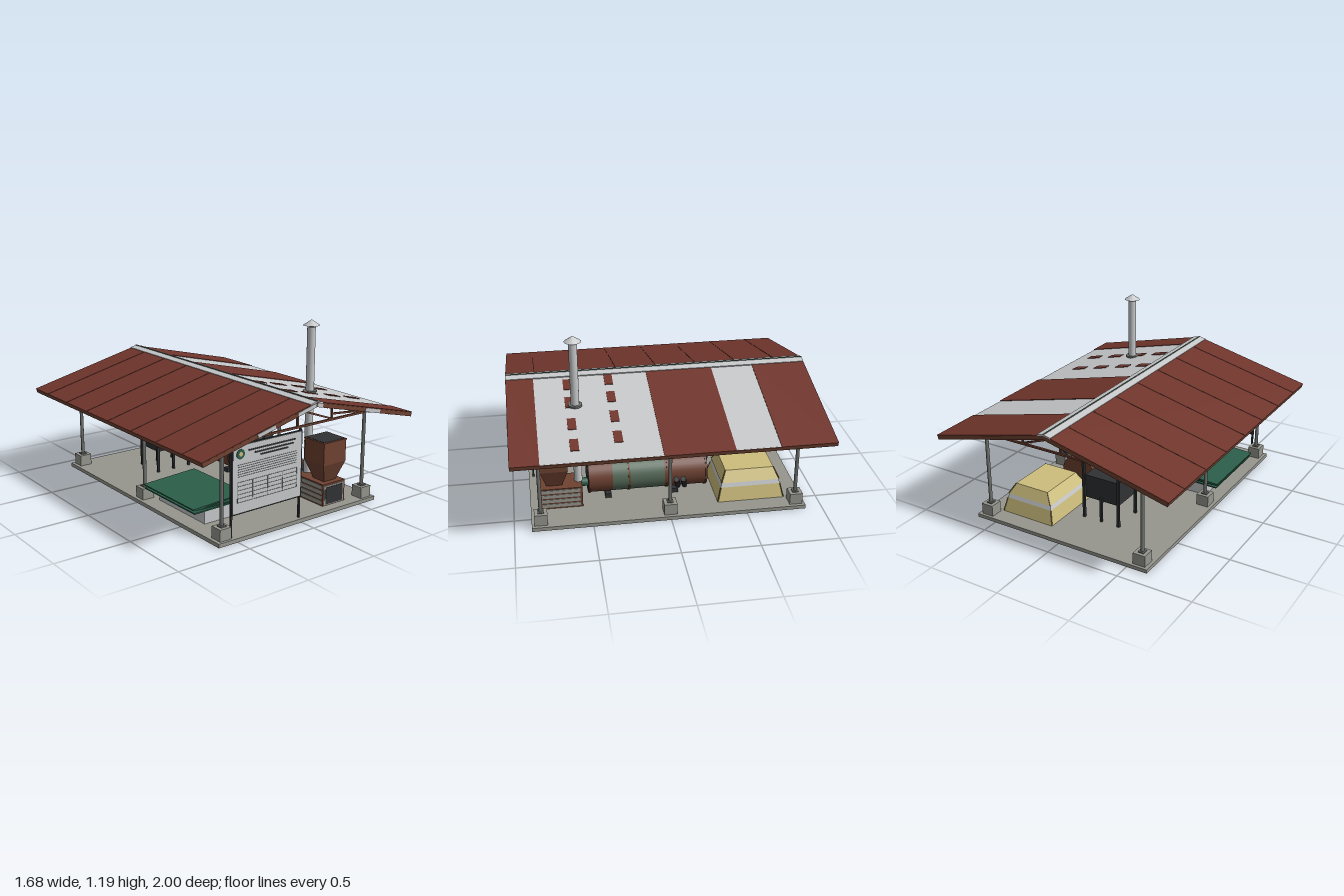
import * as THREE from 'three';

const mat = (name, color) => {
  const m = new THREE.MeshStandardMaterial({ color });
  m.name = name;
  return m;
};

export function createModel() {
  const root = new THREE.Group();
  root.name = 'dryingShed';
  const red = mat('roofRed', 0x70352c), pale = mat('paleGrey', 0xc6c8ca), concrete = mat('concrete', 0x96968f);
  const coal = mat('charcoal', 0x303234), rust = mat('rustBrown', 0x6f4232), green = mat('deepGreen', 0x2b5f4a);
  const sage = mat('sageGreen', 0x566b5a), cream = mat('cream', 0xcdbd7c), steel = mat('steel', 0x70736f);
  const trim = mat('oliveTrim', 0x7a6c3c);

  const add = (name, geo, m, x = 0, y = 0, z = 0, parent = root) => {
    const mesh = new THREE.Mesh(geo, m);
    mesh.name = name;
    mesh.position.set(x, y, z);
    parent.add(mesh);
    return mesh;
  };
  // box given by its min and max on each axis
  const box = (name, m, x0, x1, y0, y1, z0, z1, parent = root) =>
    add(name, new THREE.BoxGeometry(x1 - x0, y1 - y0, z1 - z0), m, (x0 + x1) / 2, (y0 + y1) / 2, (z0 + z1) / 2, parent);
  const cyl = (name, m, r0, r1, h, x, y, z, seg = 24) => add(name, new THREE.CylinderGeometry(r1, r0, h, seg), m, x, y, z);
  // square bar or round tube between two points
  const bar = (name, m, a, b, w, round) => {
    const p = new THREE.Vector3(...a), q = new THREE.Vector3(...b), len = p.distanceTo(q);
    const geo = round ? new THREE.CylinderGeometry(w, w, len, 16).rotateX(Math.PI / 2) : new THREE.BoxGeometry(w, w, len);
    const mesh = add(name, geo, m, ...p.clone().add(q).multiplyScalar(0.5).toArray());
    mesh.lookAt(q);
    return mesh;
  };
  // box whose top has its own width and depth
  const taper = (name, m, w0, d0, w1, d1, y0, y1, x, z) => {
    const geo = new THREE.BoxGeometry(w0, y1 - y0, d0), p = geo.attributes.position;
    for (let i = 0; i < p.count; i++) {
      if (p.getY(i) > 0) { p.setX(i, p.getX(i) * w1 / w0); p.setZ(i, p.getZ(i) * d1 / d0); }
    }
    geo.computeVertexNormals();
    return add(name, geo, m, x, (y0 + y1) / 2, z);
  };

  // floor, footings and posts
  box('floorSlab', concrete, -0.64, 0.64, 0, 0.025, -0.89, 0.89);
  for (const x of [-0.575, 0.575]) for (const z of [-0.83, 0, 0.83]) {
    box('footing', concrete, x - 0.042, x + 0.042, 0.025, 0.1, z - 0.042, z + 0.042);
    cyl('post', steel, 0.012, 0.012, 0.53, x, 0.365, z, 12);
    box('postPlate', steel, x - 0.02, x + 0.02, 0.1, 0.107, z - 0.02, z + 0.02);
  }

  // roof slopes, built flat and tilted
  const tilt = Math.atan2(0.205, 0.84), c = Math.cos(tilt), L = 0.84 / c;
  for (const side of [1, -1]) {
    const roof = new THREE.Group();
    roof.name = side > 0 ? 'leftRoof' : 'rightRoof';
    roof.position.y = 0.793;
    roof.rotation.set(0, side > 0 ? 0 : Math.PI, -tilt);
    root.add(roof);
    const plate = (name, m, x0, x1, z0, z1, y0 = 0, y1 = 0.004) => box(name, m, x0 / c, x1 / c, y0, y1, z0, z1, roof);
    plate('roofSheet', side > 0 ? pale : red, 0, 0.832, -0.99, 0.99, -0.014, 0);
    plate('eaveFascia', rust, 0.826, 0.836, -0.992, 0.992, -0.026, -0.001);
    plate('ridgeCap', pale, 0, 0.047, -0.998, 0.998, 0, 0.008);
    for (const z of [-1, 1]) plate('gableFascia', rust, 0, 0.836, z * 0.992 - 0.005, z * 0.992 + 0.005, -0.027, -0.001);
    for (const x of [0.1, 0.28, 0.46, 0.64]) plate('purlin', rust, x - 0.009, x + 0.009, -0.985, 0.985, -0.03, -0.014);
    const patches = side > 0 ? [[0.005, 0.05], [0.41, 0.54]] : [[0.01, 0.15], [0.32, 0.45]];
    // the right slope is turned about, so its front lies at local -z
    for (const [a, b] of patches) plate('gablePatch', pale, a, b, side * 0.9985 - 0.0015, side * 0.9985 + 0.0015, -0.026, -0.002);
    if (side > 0) {
      for (const [a, b] of [[-0.998, -0.64], [-0.36, 0.08], [0.82, 0.998]]) plate('redPanel', red, 0.045, 0.838, a, b);
      [[0.335, 0.1, 0.27, 0.455, 0.64], [0.605, 0.125, 0.3, 0.5, 0.685]].forEach(([z, ...xs]) =>
        xs.forEach(x => plate('redDash', red, x - 0.05, x + 0.05, z - 0.027, z + 0.027)));
    } else {
      plate('redPanel', red, 0.045, 0.838, -0.998, 0.998);
      for (let i = -3; i <= 3; i++) plate('sheetSeam', rust, 0.05, 0.838, i * 0.27 - 0.002, i * 0.27 + 0.002, 0.004, 0.006);
    }
  }
  box('ridgeLine', sage, -0.004, 0.004, 0.795, 0.804, -0.998, 0.998);

  // trusses
  for (const z of [-0.83, 0, 0.83]) {
    bar('bottomChord', rust, [-0.66, 0.6, z], [0.66, 0.6, z], 0.013);
    bar('kingPost', rust, [0, 0.6, z], [0, 0.77, z], 0.012);
    for (const s of [-1, 1]) {
      bar('rafter', rust, [0, 0.758, z], [s * 0.8, 0.563, z], 0.018);
      bar('truss strut', rust, [s * 0.285, 0.6, z], [s * 0.285, 0.7, z], 0.011);
      bar('innerBrace', rust, [0, 0.71, z], [s * 0.285, 0.605, z], 0.011);
      bar('outerBrace', rust, [s * 0.285, 0.637, z], [s * 0.62, 0.605, z], 0.011);
    }
  }

  // firebox with slatted sides
  box('firebox', rust, 0.24, 0.43, 0.025, 0.17, 0.55, 0.82);
  for (let i = 0; i < 4; i++) {
    const y = 0.036 + i * 0.034;
    for (const x of [0.237, 0.43]) box('fireboxSlat', concrete, x, x + 0.003, y, y + 0.024, 0.565, 0.815);
  }
  box('fireboxRim', concrete, 0.252, 0.418, 0.028, 0.158, 0.82, 0.823);
  box('fireboxMouth', coal, 0.262, 0.408, 0.035, 0.148, 0.823, 0.826);

  // feed hopper
  taper('hopperCone', rust, 0.1, 0.1, 0.19, 0.18, 0.17, 0.295, 0.335, 0.73);
  box('hopperBin', rust, 0.24, 0.43, 0.295, 0.437, 0.64, 0.82);
  box('hopperRim', rust, 0.236, 0.434, 0.437, 0.445, 0.636, 0.824);
  box('hopperOpening', coal, 0.248, 0.422, 0.445, 0.447, 0.648, 0.812);

  // chimney
  cyl('chimneyPipe', pale, 0.027, 0.027, 0.97, 0.335, 0.655, 0.57);
  cyl('roofCollar', steel, 0.045, 0.045, 0.012, 0.335, 0.72, 0.57);
  cyl('capNeck', steel, 0.012, 0.012, 0.02, 0.335, 1.148, 0.57);
  cyl('chimneyCap', pale, 0.054, 0.002, 0.035, 0.335, 1.169, 0.57);

  // rotary drum
  const drum = (name, m, r, z0, z1) => {
    cyl(name, m, r, r, z1 - z0, 0.25, 0.157, (z0 + z1) / 2, 36).rotation.x = Math.PI / 2;
  };
  drum('drumRear', rust, 0.12, -0.285, 0);
  drum('drumMiddle', sage, 0.12, 0, 0.345);
  drum('drumFront', rust, 0.12, 0.345, 0.5);
  drum('drumFace', coal, 0.112, 0.5, 0.508);
  for (const z of [-0.28, -0.02, 0.235, 0.498]) drum('drumHoop', rust, 0.126, z - 0.006, z + 0.006);
  for (const z of [-0.07, 0.375]) box('drumSaddle', coal, 0.145, 0.355, 0.025, 0.055, z - 0.02, z + 0.02);
  cyl('hotAirDuct', green, 0.028, 0.028, 0.06, 0.32, 0.143, 0.525).rotation.x = Math.PI / 2;

  // sloping discharge tubes
  for (const z of [-0.045, -0.09]) bar('dischargeTube', coal, [0.55, 0.245, z], [0.3, 0.045, z - 0.055], 0.018, true);

  // covered heap
  taper('heapBase', cream, 0.39, 0.445, 0.345, 0.4, 0.025, 0.12, 0.325, -0.55);
  taper('heapBand', pale, 0.345, 0.4, 0.325, 0.38, 0.12, 0.15, 0.325, -0.55);
  taper('heapTop', cream, 0.335, 0.39, 0.25, 0.325, 0.15, 0.222, 0.325, -0.55);
  for (const sx of [-1, 1]) for (const sz of [-1, 1]) {
    bar('heapEdge', trim, [0.325 + sx * 0.167, 0.152, -0.55 + sz * 0.194], [0.325 + sx * 0.125, 0.222, -0.55 + sz * 0.162], 0.006);
    bar('heapEdge', trim, [0.325 + sx * 0.194, 0.028, -0.55 + sz * 0.221], [0.325 + sx * 0.172, 0.12, -0.55 + sz * 0.199], 0.006);
  }

  // storage bin on its frame
  box('storageBin', coal, -0.235, 0.015, 0.17, 0.33, -0.55, -0.36);
  for (const z of [-0.56, -0.35]) {
    for (const x of [-0.24, 0.02]) box('binPost', coal, x - 0.009, x + 0.009, 0.025, 0.467, z - 0.007, z + 0.007);
    box('binMiddleLeg', coal, -0.118, -0.102, 0.025, 0.2, z - 0.007, z + 0.007);
    box('binRail', coal, -0.24, 0.02, 0.45, 0.464, z - 0.006, z + 0.006);
  }

  // low bench with stacked sheets
  box('bench', pale, -0.53, -0.185, 0.025, 0.11, 0.1, 0.6);
  [[0.122, 0.02], [0.137, -0.02], [0.154, 0.055]].forEach(([y, a], i) => {
    const sheet = add('stackedSheet', new THREE.BoxGeometry(0.4, 0.008, 0.55), green, -0.42 - i * 0.004, y, 0.345);
    sheet.rotation.z = a;
  });

  // notice board with plain ruled bars
  for (const x of [-0.53, 0]) box('boardPost', coal, x - 0.006, x + 0.006, 0.025, 0.6, 0.853, 0.865);
  box('boardFrame', coal, -0.535, 0.005, 0.165, 0.595, 0.864, 0.872);
  const painted = (name, m, x0, x1, y0, y1, z = 0.876) => box(name, m, x0, x1, y0, y1, 0.872, z);
  painted('boardPanel', pale, -0.526, -0.004, 0.174, 0.587, 0.874);
  for (const [a, b, y] of [[-0.415, -0.05, 0.549], [-0.37, -0.065, 0.527], [-0.325, -0.11, 0.507]]) painted('headBar', coal, a, b, y - 0.005, y + 0.005);
  for (let i = 0; i < 6; i++) painted('ruledLine', steel, -0.49, -0.04, 0.397 + i * 0.0145, 0.4 + i * 0.0145);
  for (let i = 0; i < 6; i++) painted('tableRow', steel, -0.495, -0.035, 0.238 + i * 0.025, 0.2405 + i * 0.025);
  for (let i = 0; i < 5; i++) painted('tableColumn', steel, -0.495 + i * 0.1144, -0.4926 + i * 0.1144, 0.238, 0.365);
  cyl('boardSpot', green, 0.03, 0.03, 0.005, -0.473, 0.536, 0.8745, 28).rotation.x = Math.PI / 2;
  cyl('boardSpotCentre', cream, 0.014, 0.014, 0.005, -0.473, 0.536, 0.8755).rotation.x = Math.PI / 2;

  return root;
}
